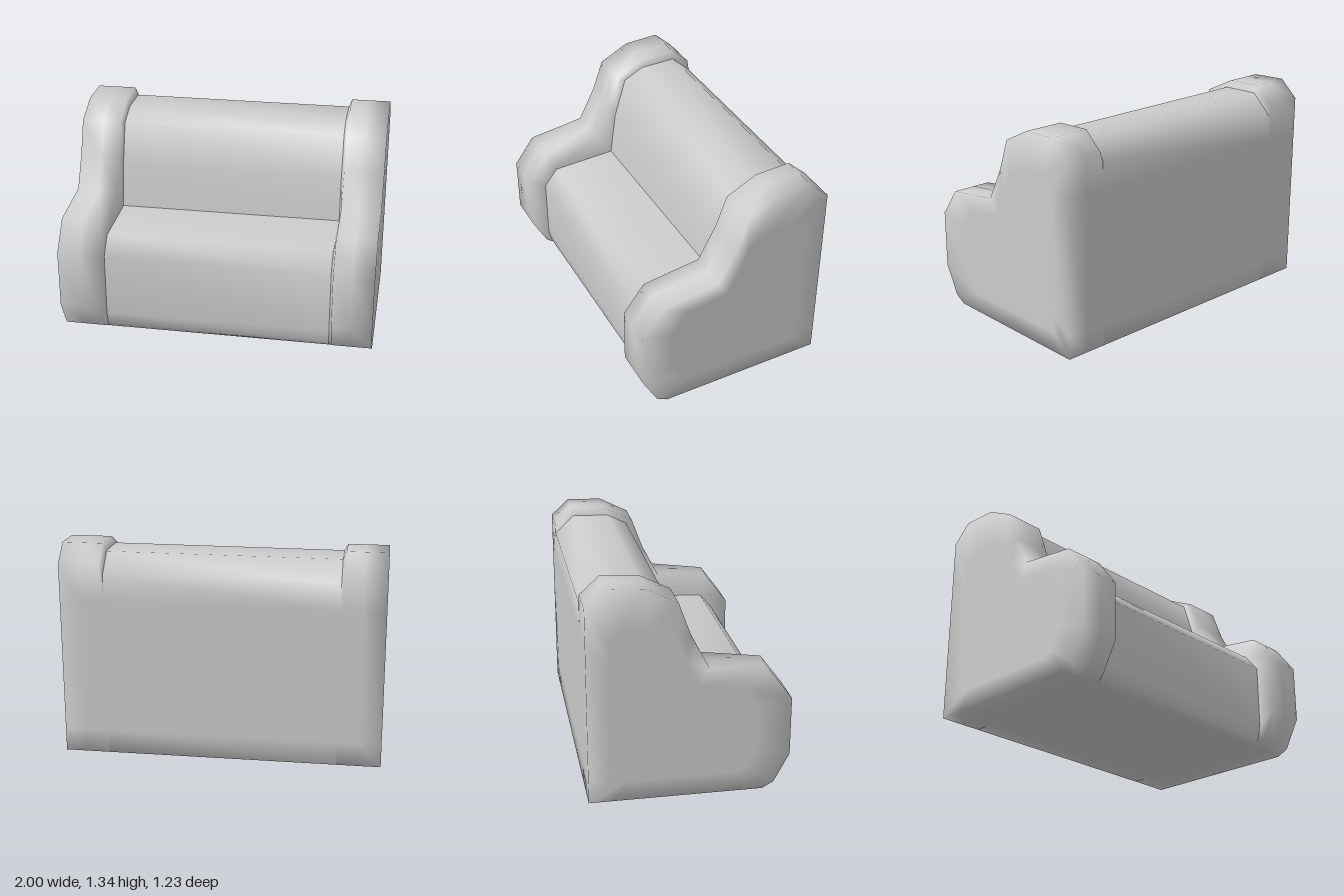
import * as THREE from 'three';

// Side outlines as [z, y]: along the bottom, up the front, over the top, down the back
const ARM = [
  [-0.615, 0], [-0.47, 0], [-0.1, 0], [0.45, 0], [0.52, 0.04], [0.615, 0.22], [0.615, 0.59],
  [0.48, 0.77], [0.11, 0.82], [0, 1.03], [-0.075, 1.235], [-0.265, 1.33], [-0.495, 1.34],
  [-0.615, 1.23], [-0.615, 1.0], [-0.615, 0.15],
];
const BODY = [
  [-0.615, 0], [-0.47, 0], [-0.1, 0], [0.45, 0], [0.49, 0.04], [0.51, 0.13], [0.51, 0.54],
  [0.42, 0.65], [0, 0.67], [-0.04, 0.96], [-0.12, 1.22], [-0.25, 1.285], [-0.49, 1.29],
  [-0.615, 1.17], [-0.615, 1.0], [-0.615, 0.15],
];
const MIDDLE = [-0.12, 0.45];
const INNER_X = 0.725;

const shrink = (profile, s) => profile.map(([z, y]) => [
  MIDDLE[0] + (z - MIDDLE[0]) * s, MIDDLE[1] + (y - MIDDLE[1]) * s,
]);

// Skins a list of { x, profile } sections with smooth normals
function loft(sections, closed) {
  const n = sections[0].profile.length;
  const positions = [];
  const index = [];
  for (const { x, profile } of sections) {
    for (const [z, y] of profile) positions.push(x, y, z);
  }
  for (let s = 0; s < sections.length - 1; s++) {
    for (let i = 0; i < (closed ? n : n - 1); i++) {
      const j = (i + 1) % n;
      const a = s * n + i, b = a + n, c = s * n + j, d = c + n;
      index.push(a, b, c, b, d, c);
    }
  }
  const geometry = new THREE.BufferGeometry();
  geometry.setAttribute('position', new THREE.Float32BufferAttribute(positions, 3));
  geometry.setIndex(index);
  geometry.computeVertexNormals();
  return geometry;
}

export function createModel() {
  const group = new THREE.Group();
  const material = new THREE.MeshStandardMaterial({ color: 0xcccccc });
  const add = (name, geometry) => {
    const mesh = new THREE.Mesh(geometry, material);
    mesh.name = name;
    group.add(mesh);
  };
  const span = (profile) => loft([{ x: -INNER_X, profile }, { x: INNER_X, profile }], false);

  // Seat and backrest meet in a crease behind the seat
  add('seat', span(BODY.slice(2, 9)));
  add('backrest', span([...BODY.slice(8), ...BODY.slice(0, 3)]));

  // Padded arms: short inner bevel, full-width roll, flat outer side closed to its middle
  for (const side of [1, -1]) {
    const sections = [
      { x: INNER_X, profile: BODY },
      { x: 0.745, profile: ARM },
      { x: 0.86, profile: ARM },
      { x: 1, profile: ARM },
      { x: 1, profile: shrink(ARM, 0.72) },
      { x: 1, profile: shrink(ARM, 0) },
    ].map(({ x, profile }) => ({ x: x * side, profile }));
    if (side < 0) sections.reverse();
    add(side > 0 ? 'leftArm' : 'rightArm', loft(sections, true));
  }
  return group;
}
